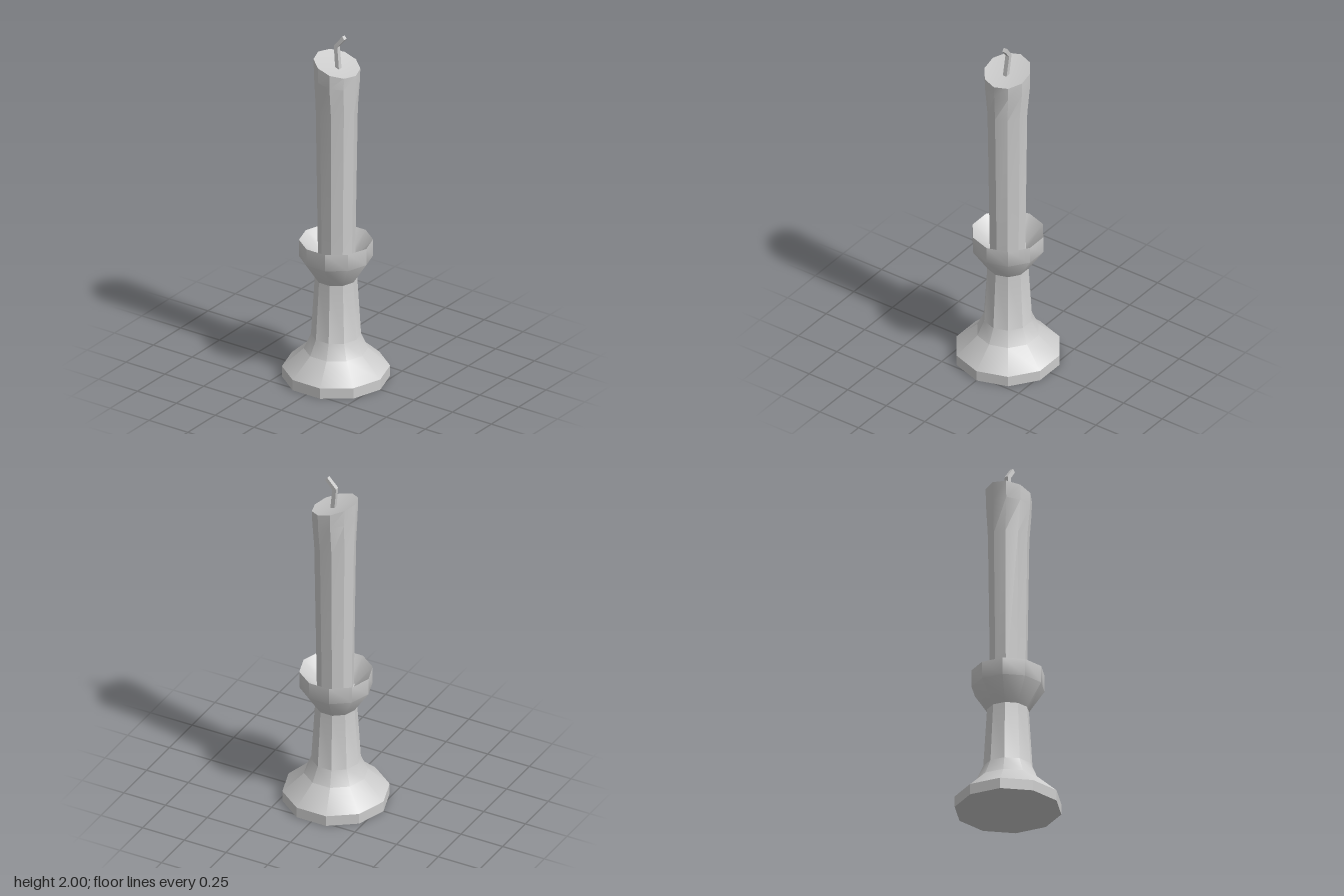
import * as THREE from 'three';
import { toCreasedNormals } from 'three/addons/utils/BufferGeometryUtils.js';

const SIDES = 10;
const CREASE = THREE.MathUtils.degToRad(35);

// Skins a stack of closed rings (each an array of Vector3, bottom to top).
function loft(rings, crease) {
  const n = rings[0].length;
  const position = rings.flat().flatMap((p) => [p.x, p.y, p.z]);
  const index = [];
  for (let i = 0; i < rings.length - 1; i++) {
    for (let j = 0; j < n; j++) {
      const a = i * n + j, b = i * n + (j + 1) % n;
      index.push(a, a + n, b, b, a + n, b + n);
    }
  }
  const geometry = new THREE.BufferGeometry();
  geometry.setAttribute('position', new THREE.Float32BufferAttribute(position, 3));
  geometry.setIndex(index);
  return toCreasedNormals(geometry, crease);
}

// Elliptical ring tilted by slope along x; zero radii close the end.
function ring(cx, y, rx, rz, slope = 0) {
  return Array.from({ length: SIDES }, (_, j) => {
    const a = (j / SIDES) * Math.PI * 2;
    const x = rx * Math.cos(a);
    return new THREE.Vector3(cx + x, y + slope * x, rz * Math.sin(a));
  });
}

// Four-sided cross-section of the wick, turned by angle in the xy plane.
function square(x, y, z, half, angle) {
  return [[1, -1], [1, 1], [-1, 1], [-1, -1]].map(([u, v]) => new THREE.Vector3(
    x + u * half * Math.cos(angle), y + u * half * Math.sin(angle), z + v * half));
}

export function createModel() {
  const group = new THREE.Group();
  const material = new THREE.MeshStandardMaterial({ color: 0xcccccc });
  const add = (name, geometry) => {
    const mesh = new THREE.Mesh(geometry, material);
    mesh.name = name;
    group.add(mesh);
  };

  // Holder: foot, stem and hollow cup in one turned profile
  const profile = [
    [0, 0], [0.285, 0], [0.285, 0.06], [0.17, 0.165], [0.132, 0.25],
    [0.112, 0.58], [0.195, 0.705], [0.195, 0.8], [0.1, 0.7], [0, 0.7],
  ].map(([r, y]) => new THREE.Vector2(r, y));
  add('candleHolder', toCreasedNormals(
    new THREE.LatheGeometry(profile, SIDES, Math.PI / 2), CREASE));

  // Candle: slim shaft flaring to a slanted, slightly dished top
  add('candle', loft([
    ring(0.004, 0.69, 0, 0),
    ring(0.004, 0.69, 0.098, 0.098),
    ring(0.005, 1.58, 0.112, 0.109),
    ring(0.006, 1.75, 0.118, 0.127, -0.2),
    ring(0.006, 1.832, 0.121, 0.128, -0.31),
    ring(0.012, 1.812, 0, 0),
  ], CREASE));

  // Wick: bent square strand
  add('wick', loft([
    square(0.018, 1.79, 0.002, 0.012, 0.12),
    square(0.002, 1.935, -0.005, 0.012, -0.25),
    square(0.046, 1.991, -0.012, 0.011, -0.9),
    square(0.046, 1.991, -0.012, 0, 0),
  ], 0.2));

  return group;
}
